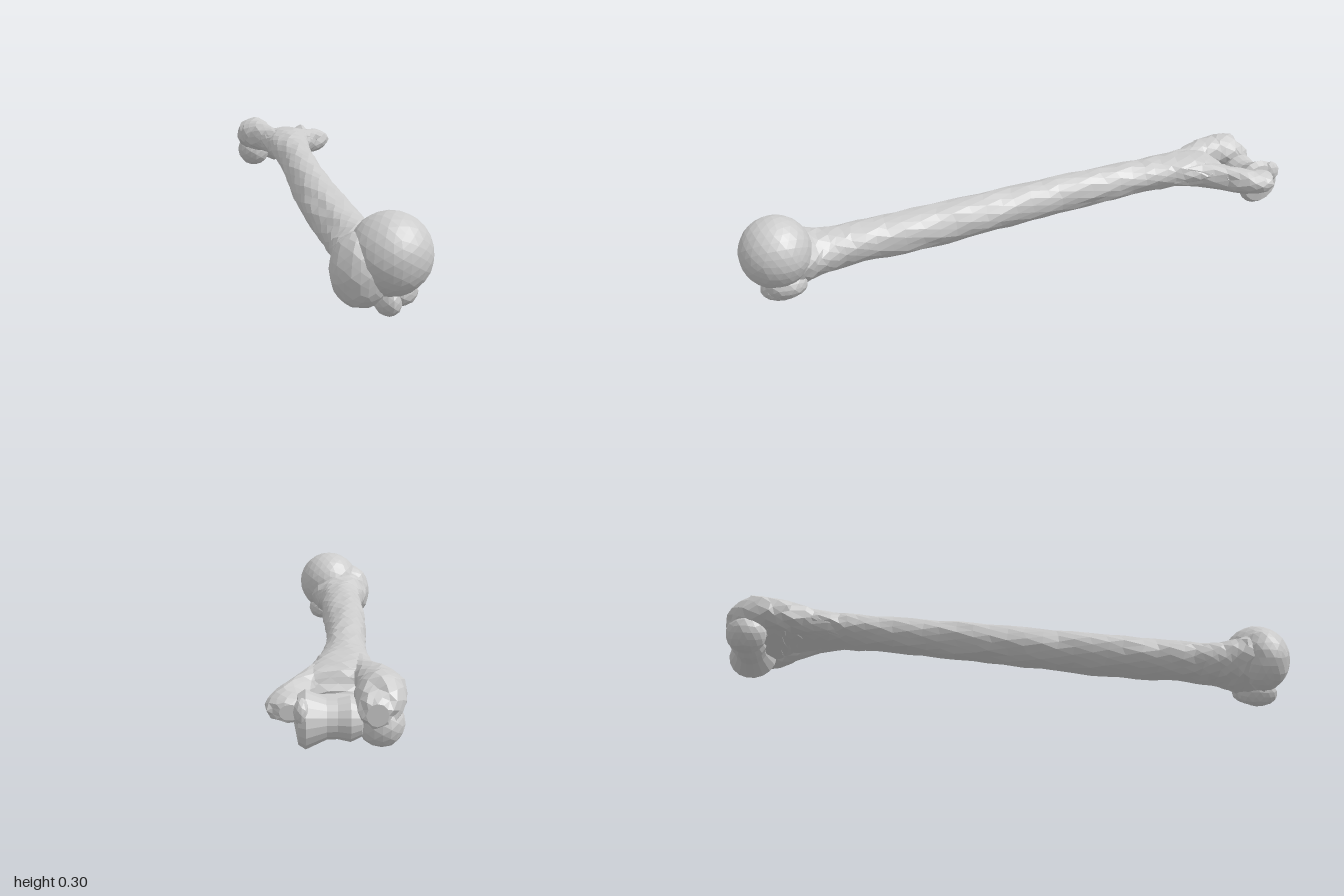
import * as THREE from 'three';

const bone = new THREE.MeshStandardMaterial({ color: 0xcccccc, flatShading: true });

// repeatable noise in -1..1 from a position
function noise(x, y, z) {
  const s = Math.sin(Math.round(x * 1e4) * 0.0127 + Math.round(y * 1e4) * 0.0783 + Math.round(z * 1e4) * 0.0377) * 43758.5453;
  return (s - Math.floor(s)) * 2 - 1;
}

function addMesh(group, name, geometry) {
  geometry.computeVertexNormals();
  const mesh = new THREE.Mesh(geometry, bone);
  mesh.name = name;
  group.add(mesh);
  return mesh;
}

// lofted oval sections running towards -z; each section is [z, xMin, xMax, yMin, yMax]
function loft(sections, rings, sides, rough) {
  const mid = new THREE.CatmullRomCurve3(sections.map(([z, a, b, c, d]) =>
    new THREE.Vector3((a + b) / 2, (c + d) / 2, z)), false, 'catmullrom', 0.4);
  const half = new THREE.CatmullRomCurve3(sections.map(([, a, b, c, d]) =>
    new THREE.Vector3((b - a) / 2, (d - c) / 2, 0)), false, 'catmullrom', 0.4);
  const pos = [], index = [];
  for (let k = 0; k <= rings; k++) {
    const m = mid.getPoint(k / rings), h = half.getPoint(k / rings);
    for (let i = 0; i < sides; i++) {
      const a = ((i + k / 2) / sides) * Math.PI * 2;
      const inner = k > 0 && k < rings;
      const n = 1 + rough * noise(i + 0.3, k * 1.7, m.z);
      const shift = inner ? rough * 0.2 * noise(k + 0.1, i * 2.3, m.z) : 0;
      pos.push(m.x + h.x * Math.cos(a) * n, m.y + h.y * Math.sin(a) * n, m.z + shift);
    }
  }
  for (let k = 0; k < rings; k++) {
    for (let i = 0; i < sides; i++) {
      const j = (i + 1) % sides, r = k * sides, s = r + sides;
      index.push(r + i, s + i, r + j, r + j, s + i, s + j);
    }
  }
  // end caps
  [0, 1].forEach((end) => {
    const m = mid.getPoint(end), base = end * rings * sides, c = pos.length / 3;
    pos.push(m.x, m.y, m.z);
    for (let i = 0; i < sides; i++) {
      const j = (i + 1) % sides;
      index.push(c, base + (end ? j : i), base + (end ? i : j));
    }
  });
  const g = new THREE.BufferGeometry();
  g.setAttribute('position', new THREE.Float32BufferAttribute(pos, 3));
  g.setIndex(index);
  return g;
}

// lumpy ellipsoid
function lump(center, radii, detail, rough) {
  const g = new THREE.IcosahedronGeometry(1, detail);
  const p = g.attributes.position;
  for (let i = 0; i < p.count; i++) {
    const x = p.getX(i), y = p.getY(i), z = p.getZ(i);
    const n = 1 + rough * noise(x, y, z);
    p.setXYZ(i, center[0] + x * radii[0] * n, center[1] + y * radii[1] * n, center[2] + z * radii[2] * n);
  }
  return g;
}

export function createModel() {
  const group = new THREE.Group();
  group.name = 'upperArmBone';

  // shaft, flaring into the neck and thinning to the floor of the elbow hollow
  addMesh(group, 'shaft', loft([
    [0.88, -0.18, 0.05, 0.04, 0.25],
    [0.80, -0.182, 0.045, 0.045, 0.235],
    [0.73, -0.165, 0.02, 0.062, 0.213],
    [0.64, -0.15, 0.008, 0.074, 0.214],
    [0.50, -0.147, 0.01, 0.08, 0.22],
    [0.30, -0.145, 0.01, 0.088, 0.233],
    [0.10, -0.137, 0.008, 0.105, 0.246],
    [-0.10, -0.125, 0.01, 0.125, 0.262],
    [-0.30, -0.11, 0.02, 0.147, 0.276],
    [-0.48, -0.107, 0.037, 0.166, 0.285],
    [-0.60, -0.112, 0.06, 0.174, 0.292],
    [-0.70, -0.128, 0.092, 0.176, 0.29],
    [-0.76, -0.14, 0.12, 0.175, 0.275],
    [-0.80, -0.14, 0.14, 0.172, 0.222],
    [-0.85, -0.13, 0.14, 0.165, 0.205],
    [-0.91, -0.10, 0.11, 0.155, 0.2],
  ], 52, 16, 0.045));

  // shoulder end
  addMesh(group, 'head', lump([-0.03, 0.183, 0.876], [0.121, 0.121, 0.119], 4, 0.008));
  addMesh(group, 'greaterTubercle', lump([-0.113, 0.142, 0.87], [0.09, 0.11, 0.09], 3, 0.025));
  addMesh(group, 'lesserTubercle', lump([-0.036, 0.054, 0.865], [0.041, 0.053, 0.072], 2, 0.03));
  addMesh(group, 'tubercleRidge', lump([-0.005, 0.075, 0.855], [0.06, 0.05, 0.07], 2, 0.03));

  // two columns on either side of the elbow hollow
  addMesh(group, 'outerColumn', loft([
    [-0.60, -0.105, -0.01, 0.185, 0.28],
    [-0.70, -0.13, -0.03, 0.185, 0.288],
    [-0.78, -0.168, -0.046, 0.185, 0.293],
    [-0.84, -0.188, -0.048, 0.18, 0.3],
    [-0.90, -0.188, -0.042, 0.168, 0.303],
    [-0.95, -0.165, -0.045, 0.155, 0.275],
    [-0.98, -0.13, -0.07, 0.175, 0.24],
  ], 14, 12, 0.05));
  addMesh(group, 'innerColumn', loft([
    [-0.58, -0.03, 0.05, 0.185, 0.275],
    [-0.68, 0.0, 0.085, 0.18, 0.275],
    [-0.76, 0.045, 0.128, 0.17, 0.268],
    [-0.82, 0.07, 0.18, 0.16, 0.258],
    [-0.87, 0.085, 0.202, 0.162, 0.246],
    [-0.91, 0.085, 0.198, 0.168, 0.24],
    [-0.935, 0.1, 0.165, 0.18, 0.225],
  ], 12, 12, 0.045));

  // elbow joint: spool and ball on a sideways axis
  const profile = [[0, -0.075], [0.05, -0.06], [0.064, -0.03], [0.056, 0.005], [0.057, 0.035],
    [0.072, 0.068], [0.083, 0.092], [0.07, 0.112], [0, 0.125]].map(([r, h]) => new THREE.Vector2(r, h));
  const spool = new THREE.LatheGeometry(profile, 18);
  spool.rotateZ(-Math.PI / 2);
  spool.translate(0, 0.178, -0.916);
  addMesh(group, 'elbowSpool', spool);
  addMesh(group, 'elbowBall', lump([-0.115, 0.165, -0.912], [0.066, 0.068, 0.068], 2, 0.02));
  addMesh(group, 'spoolLip', lump([0.103, 0.215, -0.965], [0.022, 0.04, 0.032], 1, 0.03));

  return group;
}
